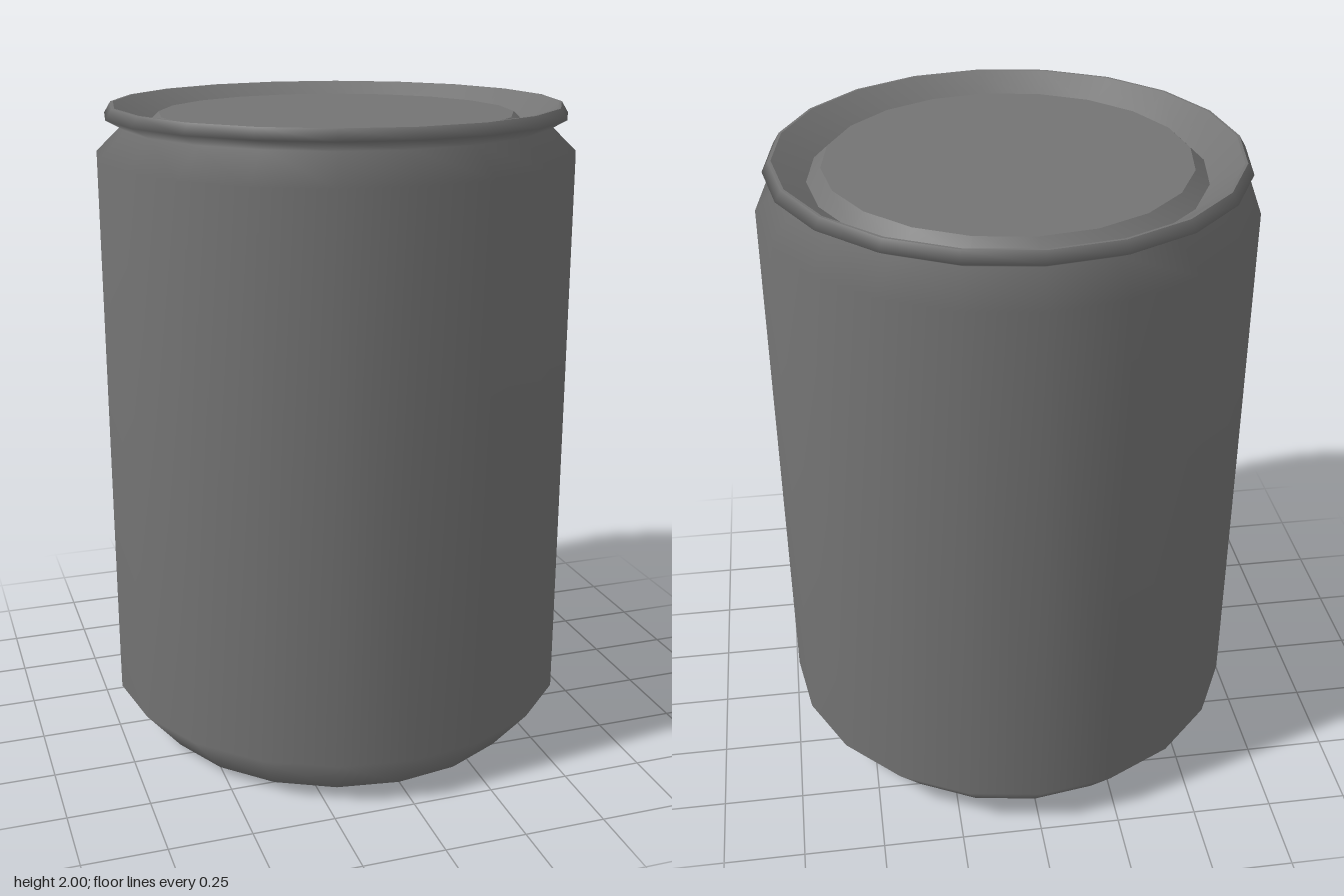
import * as THREE from 'three';
import { mergeVertices } from 'three/addons/utils/BufferGeometryUtils.js';

const SIDES = 20;

export function createModel() {
  const group = new THREE.Group();
  group.name = 'can';
  const material = new THREE.MeshStandardMaterial({ color: 0x747474 });

  // Turns a profile of [radius, height] pairs, smooth throughout with area-weighted normals;
  // separate parts meet in hard edges
  const addTurned = (name, profile) => {
    const points = profile.map(([r, y]) => new THREE.Vector2(r, y));
    const lathe = new THREE.LatheGeometry(points, SIDES);
    lathe.deleteAttribute('uv');
    lathe.deleteAttribute('normal');
    const geometry = mergeVertices(lathe);
    geometry.computeVertexNormals();
    const mesh = new THREE.Mesh(geometry, material);
    mesh.name = name;
    group.add(mesh);
  };

  // Flat base
  addTurned('base', [[0, 0], [0.62, 0]]);

  // Tapered foot, side wall, shoulder, neck and flared rim in one smooth skin
  addTurned('body', [[0.62, 0], [0.737, 0.14], [0.737, 1.85], [0.65, 1.935], [0.708, 1.967], [0.688, 2]]);

  // Narrow flat top of the rim
  addTurned('rimTop', [[0.688, 2], [0.68, 2]]);

  // Wall sloping down to the groove, step up, and flat lid
  addTurned('innerWall', [[0.68, 2], [0.585, 1.93]]);
  addTurned('lidStep', [[0.585, 1.93], [0.542, 1.97]]);
  addTurned('lid', [[0.542, 1.97], [0, 1.97]]);

  return group;
}
